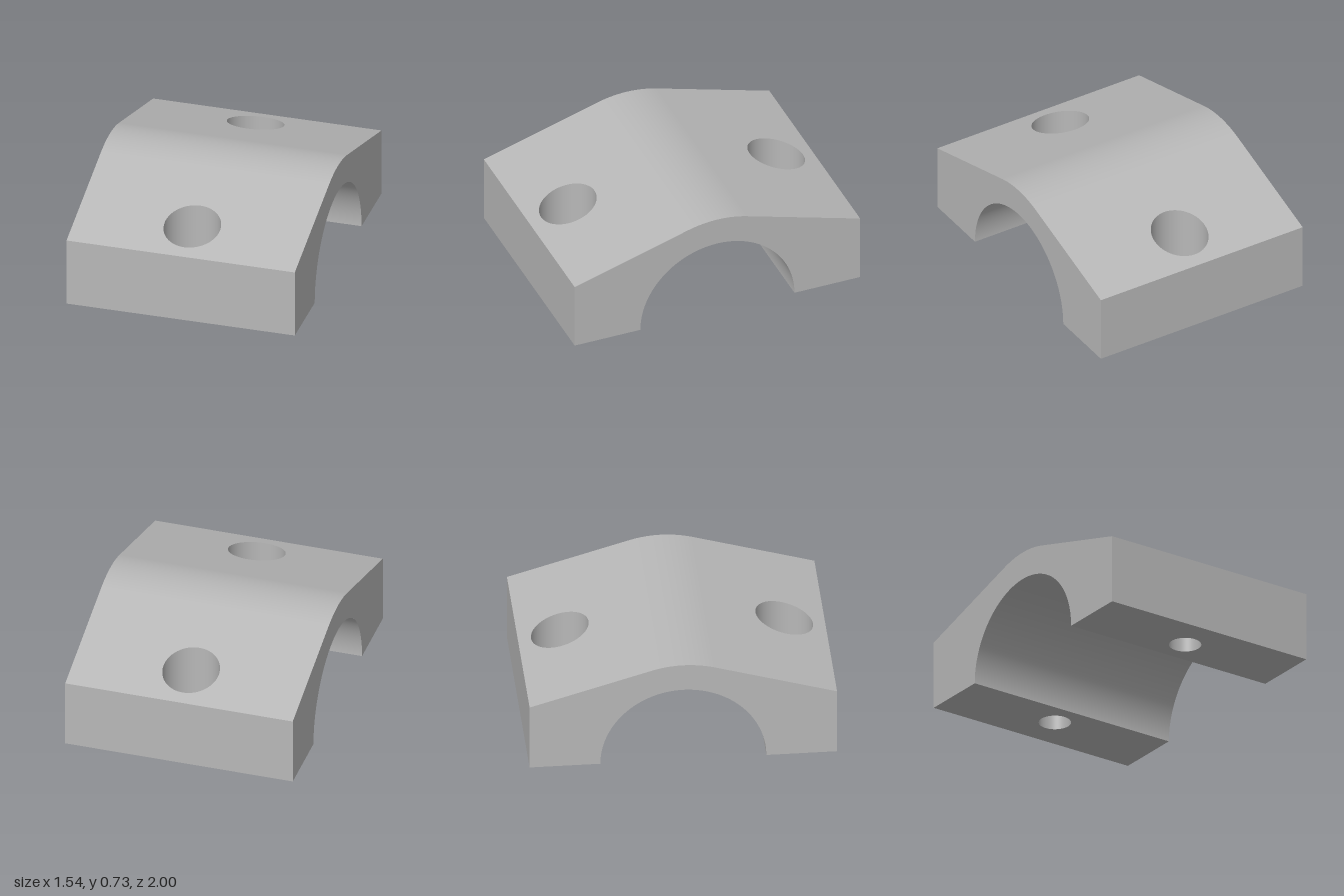
import * as THREE from 'three';

const W = 0.77, L = 1, BORE = 0.54, CROWN = 0.73; // half width, half length, radii
const TILT = THREE.MathUtils.degToRad(16.5);
const Z_TANGENT = CROWN * Math.sin(TILT);
const HOLE_Z = 0.73, HOLE_R = 0.105, SINK_R = 0.187, SINK_FLOOR = 0.23;
const SEG = 64;

// height of the sloping shoulder at distance z from the centre
const slopeY = (z) => (CROWN - z * Math.sin(TILT)) / Math.cos(TILT);

export function createModel() {
  const metal = new THREE.MeshStandardMaterial({ color: 0xb8b8b8 });
  const model = new THREE.Group();
  model.name = 'saddleClamp';

  const add = (parent, name, geometry) => {
    const mesh = new THREE.Mesh(geometry, metal);
    mesh.name = name;
    parent.add(mesh);
  };

  // flat rectangle with a round hole
  const drilledPlate = (y0, y1, holeY, radius) => {
    const s = new THREE.Shape();
    s.moveTo(-W, y0).lineTo(W, y0).lineTo(W, y1).lineTo(-W, y1).closePath();
    const hole = new THREE.Path();
    hole.absarc(0, holeY, radius, 0, Math.PI * 2, true);
    s.holes.push(hole);
    return new THREE.ShapeGeometry(s, SEG / 2);
  };

  // revolved surface; a downward profile faces inward
  const revolve = (r0, y0, r1, y1, start = 0, sweep = Math.PI * 2, seg = SEG) =>
    new THREE.LatheGeometry([new THREE.Vector2(r0, y0), new THREE.Vector2(r1, y1)], seg, start, sweep);

  // rounded crown and half-round bore, both along x
  add(model, 'crown',
    revolve(CROWN, -W, CROWN, W, Math.PI / 2 - TILT, 2 * TILT, 24).rotateZ(Math.PI / 2));
  add(model, 'bore', revolve(BORE, W, BORE, -W, 0, Math.PI, SEG).rotateZ(Math.PI / 2));

  // arched side faces
  const profile = new THREE.Shape();
  profile.moveTo(BORE, 0).lineTo(L, 0).lineTo(L, slopeY(L));
  profile.absarc(0, 0, CROWN, Math.PI / 2 - TILT, Math.PI / 2 + TILT, false);
  profile.lineTo(-L, slopeY(L)).lineTo(-L, 0).lineTo(-BORE, 0);
  profile.absarc(0, 0, BORE, Math.PI, 0, true);
  for (const side of [-1, 1]) {
    add(model, side < 0 ? 'rightSide' : 'leftSide',
      new THREE.ShapeGeometry(profile, SEG).rotateY(side * Math.PI / 2).translate(side * W, 0, 0));
  }

  // front and back feet, each with a counterbored bolt hole
  for (const [name, turn] of [['frontFoot', 0], ['backFoot', Math.PI]]) {
    const foot = new THREE.Group();
    foot.name = name;
    foot.rotation.y = turn;

    const slope = drilledPlate(-L, -Z_TANGENT, -HOLE_Z, SINK_R).rotateX(-Math.PI / 2);
    const p = slope.attributes.position;
    for (let i = 0; i < p.count; i++) p.setY(i, slopeY(p.getZ(i)));
    slope.computeVertexNormals();
    add(foot, 'slopedTop', slope);

    add(foot, 'underside', drilledPlate(BORE, L, HOLE_Z, HOLE_R).rotateX(Math.PI / 2));
    add(foot, 'endWall',
      new THREE.PlaneGeometry(2 * W, slopeY(L)).translate(0, slopeY(L) / 2, L));

    // counterbore wall, trimmed to the slope
    const wall = revolve(SINK_R, 1, SINK_R, SINK_FLOOR).translate(0, 0, HOLE_Z);
    const q = wall.attributes.position;
    for (let i = 0; i < q.count; i++) if (q.getY(i) > 0.9) q.setY(i, slopeY(q.getZ(i)));
    add(foot, 'counterboreWall', wall);
    add(foot, 'counterboreFloor',
      revolve(SINK_R, SINK_FLOOR, HOLE_R, SINK_FLOOR).translate(0, 0, HOLE_Z));
    add(foot, 'boltHole', revolve(HOLE_R, SINK_FLOOR, HOLE_R, 0).translate(0, 0, HOLE_Z));
    model.add(foot);
  }
  return model;
}
